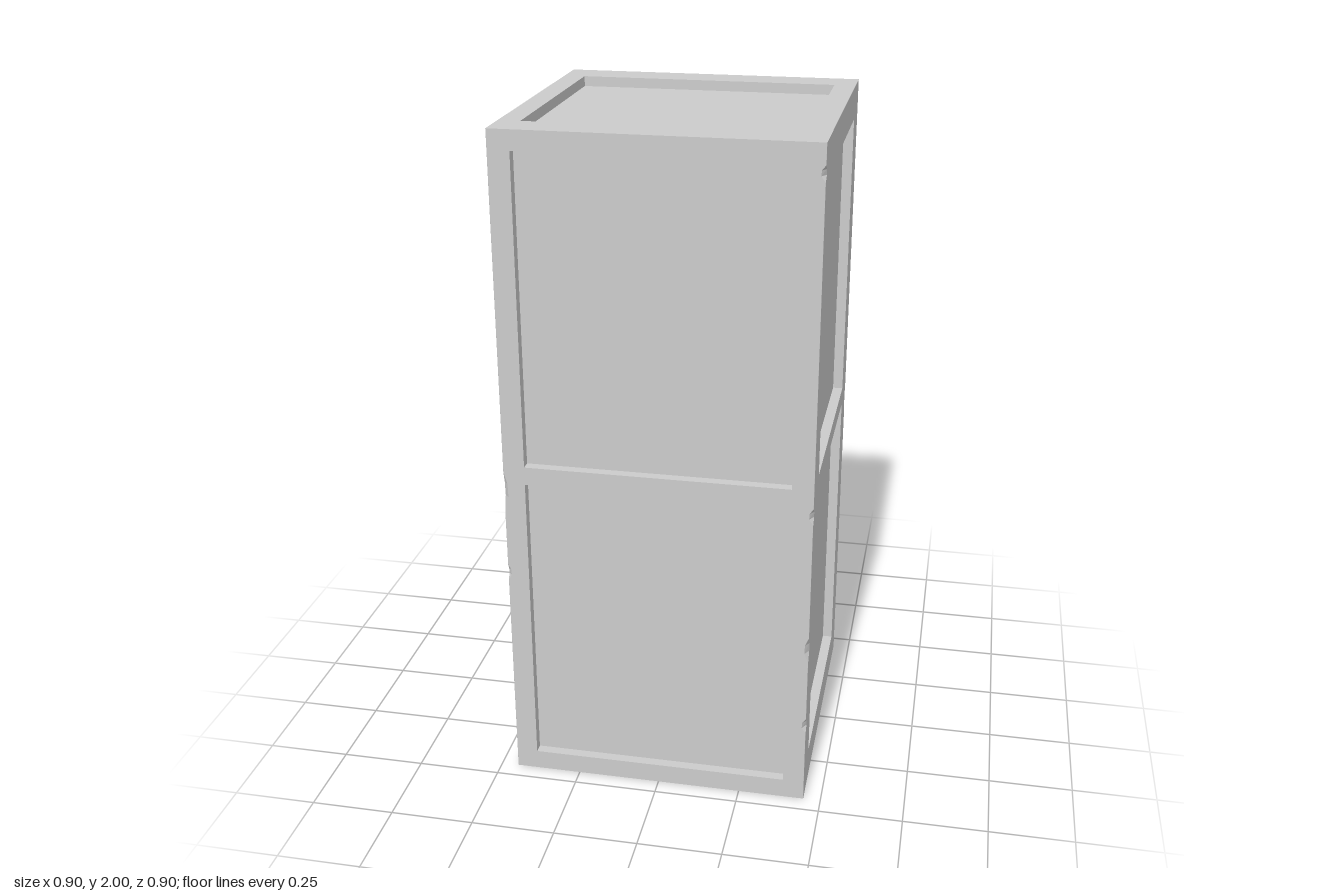
import * as THREE from 'three';

const material = new THREE.MeshStandardMaterial({ color: 0xcccccc, flatShading: true });
const HALF = 0.448, HEIGHT = 2;      // outer size
const IN_X = 0.385, IN_Z = 0.34;     // inner edges of the corner posts
const RECESS = 0.03;

// Corner post whose outer edge is cut away at each chip: [centre y, half height, cut in x, cut in z]
function postGeometry(side, chips) {
  const levels = [[0, 0, 0], [HEIGHT, 0, 0]];
  for (const [y, h, cx, cz] of chips) {
    levels.push([y - h, 0, 0], [y - h * 0.3, cx, cz], [y + h * 0.4, cx * 0.9, cz * 0.8], [y + h, 0, 0]);
  }
  levels.sort((a, b) => a[0] - b[0]);

  const positions = [], index = [], n = 5;
  for (const [y, cx, cz] of levels) {
    const ring = [
      [IN_X, IN_Z], [IN_X, HALF],
      [HALF - Math.max(cx, 0.0005), HALF], [HALF, HALF - Math.max(cz, 0.0005)],
      [HALF, IN_Z],
    ];
    for (const [x, z] of ring) positions.push(side * x, y, z);
  }
  // Mirrored posts need the opposite corner order
  const tri = (a, b, c) => (side > 0 ? index.push(a, b, c) : index.push(a, c, b));
  for (let j = 0; j < levels.length - 1; j++) {
    for (let k = 0; k < n; k++) {
      const a = j * n + k, b = j * n + (k + 1) % n;
      tri(a, b, b + n);
      tri(a, b + n, a + n);
    }
  }
  const top = (levels.length - 1) * n;
  for (let k = 1; k < n - 1; k++) {
    tri(0, k + 1, k);
    tri(top, top + k, top + k + 1);
  }
  const geometry = new THREE.BufferGeometry();
  geometry.setAttribute('position', new THREE.Float32BufferAttribute(positions, 3));
  geometry.setIndex(index);
  const flat = geometry.toNonIndexed();
  flat.computeVertexNormals();
  return flat;
}

function addMesh(parent, name, geometry) {
  const mesh = new THREE.Mesh(geometry, material);
  mesh.name = name;
  parent.add(mesh);
  return mesh;
}

// Box given by its lower and upper limits
function addBeam(parent, name, [x0, x1], [y0, y1], [z0, z1]) {
  const mesh = addMesh(parent, name, new THREE.BoxGeometry(x1 - x0, y1 - y0, z1 - z0));
  mesh.position.set((x0 + x1) / 2, (y0 + y1) / 2, (z0 + z1) / 2);
}

// Front and left halves of the frame; turned half round for the other two sides
function createHalfFrame() {
  const half = new THREE.Group();
  addMesh(half, 'leftPost', postGeometry(1, [
    [1.92, 0.022, 0.012, 0.02],
    [0.95, 0.025, 0.012, 0.02],
    [0.52, 0.04, 0.012, 0.02],
    [0.26, 0.025, 0.012, 0.02],
  ]));
  addMesh(half, 'rightPost', postGeometry(-1, [
    [0.95, 0.06, 0.012, 0.012],
    [0.685, 0.025, 0.01, 0.01],
  ]));

  const frontRails = { bottomRail: [0, 0.06], middleRail: [0.975, 1.03], topRail: [1.943, HEIGHT] };
  for (const [name, span] of Object.entries(frontRails)) {
    addBeam(half, name, [-IN_X, IN_X], span, [IN_Z, HALF]);
  }
  const sideRails = { sideBottomRail: [0, 0.102], sideMiddleRail: [0.975, 1.03], sideTopRail: [1.9, HEIGHT] };
  for (const [name, span] of Object.entries(sideRails)) {
    addBeam(half, name, [IN_X, HALF], span, [-IN_Z, IN_Z]);
  }
  return half;
}

export function createModel() {
  const model = new THREE.Group();
  model.name = 'panelledCrate';

  // Recessed panels on all six sides
  const inner = HALF - RECESS;
  addBeam(model, 'recessedPanels', [-inner, inner], [RECESS, HEIGHT - RECESS], [-inner, inner]);

  // Frame with half-turn symmetry
  for (let i = 0; i < 2; i++) {
    const half = createHalfFrame();
    half.name = i === 0 ? 'frontLeftFrame' : 'backRightFrame';
    half.rotation.y = i * Math.PI;
    model.add(half);
  }
  return model;
}
